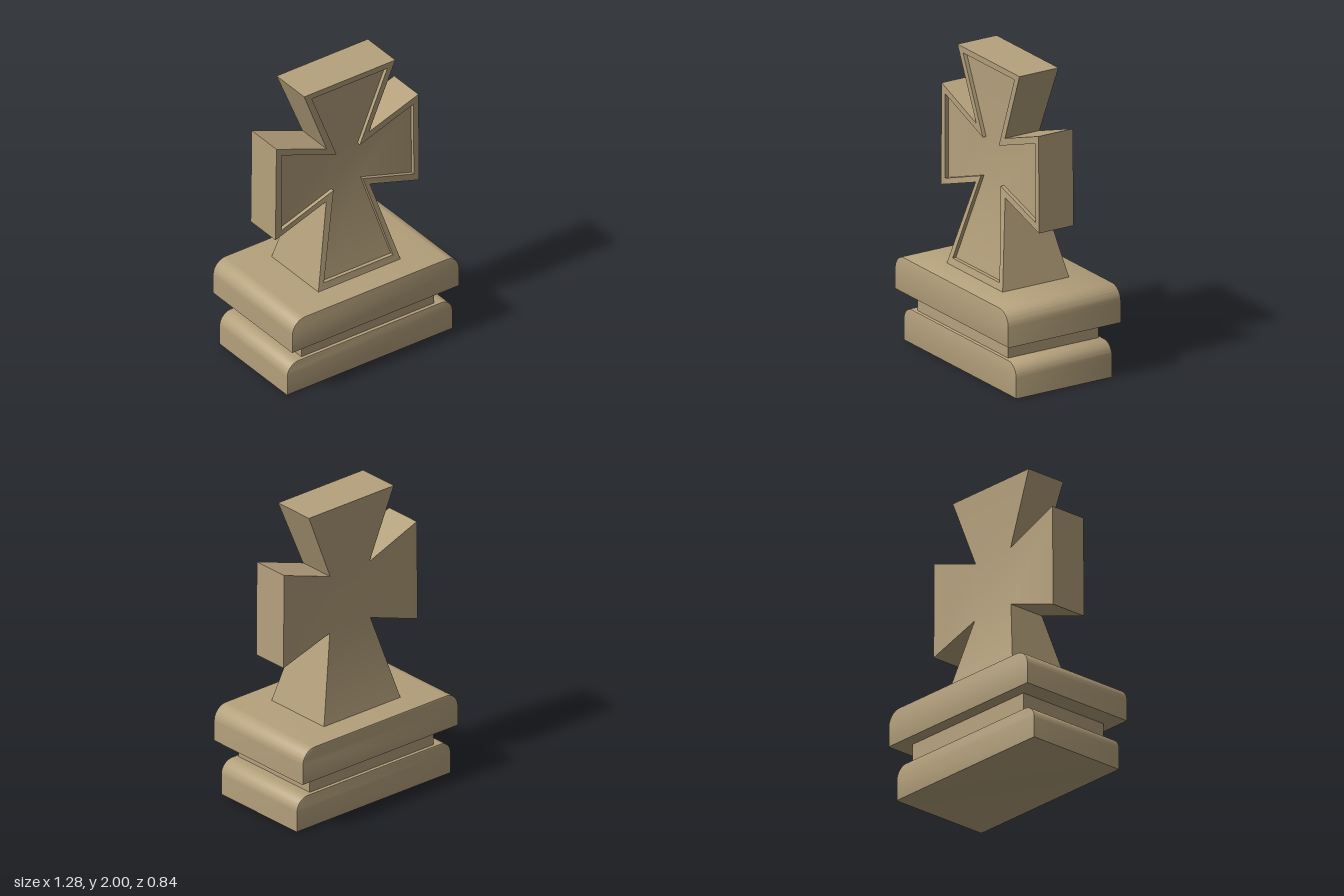
import * as THREE from 'three';
import { toCreasedNormals } from 'three/addons/utils/BufferGeometryUtils.js';

// Cross outline, clockwise from the top left corner: x, y, half depth
const OUTER = [
  [-0.35, 2, 0.145], [0.35, 2, 0.145], [0.16, 1.53, 0.128],
  [0.54, 1.66, 0.128], [0.545, 1.02, 0.128], [0.165, 1.14, 0.13],
  [0.315, 0.585, 0.247], [-0.315, 0.585, 0.247], [-0.17, 1.14, 0.13],
  [-0.56, 1.005, 0.13], [-0.552, 1.68, 0.13], [-0.165, 1.53, 0.128],
];
// Edge of the sunken front panel
const INNER = [
  [-0.29, 1.96, 0.143], [0.29, 1.96, 0.143], [0.09, 1.46, 0.128],
  [0.5, 1.6, 0.128], [0.505, 1.08, 0.128], [0.112, 1.2, 0.128],
  [0.265, 0.63, 0.237], [-0.265, 0.63, 0.237], [-0.112, 1.2, 0.128],
  [-0.515, 1.06, 0.13], [-0.515, 1.62, 0.13], [-0.09, 1.46, 0.128],
];
const RECESS = 0.025;
// Top arm, side arms, centre and foot, each as a clockwise quad
const REGIONS = [[0, 1, 2, 11], [2, 3, 4, 5], [11, 2, 5, 8], [8, 9, 10, 11], [8, 5, 6, 7]];

// Builds a geometry from counter-clockwise quads, smooth across gentle bends
function quadGeometry(quads) {
  const pos = [];
  for (const [a, b, c, d] of quads) pos.push(...a, ...b, ...c, ...a, ...c, ...d);
  const g = new THREE.BufferGeometry();
  g.setAttribute('position', new THREE.Float32BufferAttribute(pos, 3));
  return toCreasedNormals(g, 0.5);
}

// Slab with its two end upper edges rounded and a fine bevel front and back
function slabGeometry(halfW, height, halfD, r) {
  const bevel = 0.006;
  const s = new THREE.Shape();
  s.moveTo(-halfW, 0);
  s.lineTo(halfW, 0);
  s.lineTo(halfW, height - r);
  s.absarc(halfW - r, height - r, r, 0, Math.PI / 2, false);
  s.lineTo(-halfW + r, height);
  s.absarc(-halfW + r, height - r, r, Math.PI / 2, Math.PI, false);
  s.closePath();
  const g = new THREE.ExtrudeGeometry(s, {
    depth: 2 * (halfD - bevel), curveSegments: 10,
    bevelThickness: bevel, bevelSize: bevel, bevelOffset: -bevel, bevelSegments: 2,
  });
  g.translate(0, 0, bevel - halfD);
  return toCreasedNormals(g, 0.6);
}

export function createModel() {
  const group = new THREE.Group();
  const stone = new THREE.MeshStandardMaterial({ color: 0xb5a17c });
  stone.name = 'tan stone';

  const add = (name, geometry, y = 0) => {
    const mesh = new THREE.Mesh(geometry, stone);
    mesh.name = name;
    mesh.position.y = y;
    group.add(mesh);
  };

  // Stepped base
  add('lowerPlinth', slabGeometry(0.635, 0.227, 0.358, 0.09));
  add('plinthNeck', new THREE.BoxGeometry(1.02, 0.13, 0.67), 0.287);
  add('upperPlinth', slabGeometry(0.64, 0.235, 0.42, 0.1), 0.35);

  // Points on the back face and panel floor
  const back = OUTER.map(([x, y, d]) => [x, y, -d]);
  const floor = INNER.map(([x, y, d]) => [x, y, d - RECESS]);

  const body = [], rim = [], walls = [];
  for (let i = 0; i < 12; i++) {
    const j = (i + 1) % 12;
    body.push([OUTER[i], OUTER[j], back[j], back[i]]);
    rim.push([OUTER[i], INNER[i], INNER[j], OUTER[j]]);
    walls.push([INNER[i], floor[i], floor[j], INNER[j]]);
  }
  for (const q of REGIONS) body.push(q.map((k) => back[k]));
  const panel = REGIONS.map((q) => [...q].reverse().map((k) => floor[k]));

  // Flared cross with a raised border around a sunken panel
  add('crossBody', quadGeometry(body));
  add('crossRim', quadGeometry(rim));
  add('panelWalls', quadGeometry(walls));
  add('sunkenPanel', quadGeometry(panel));
  return group;
}
